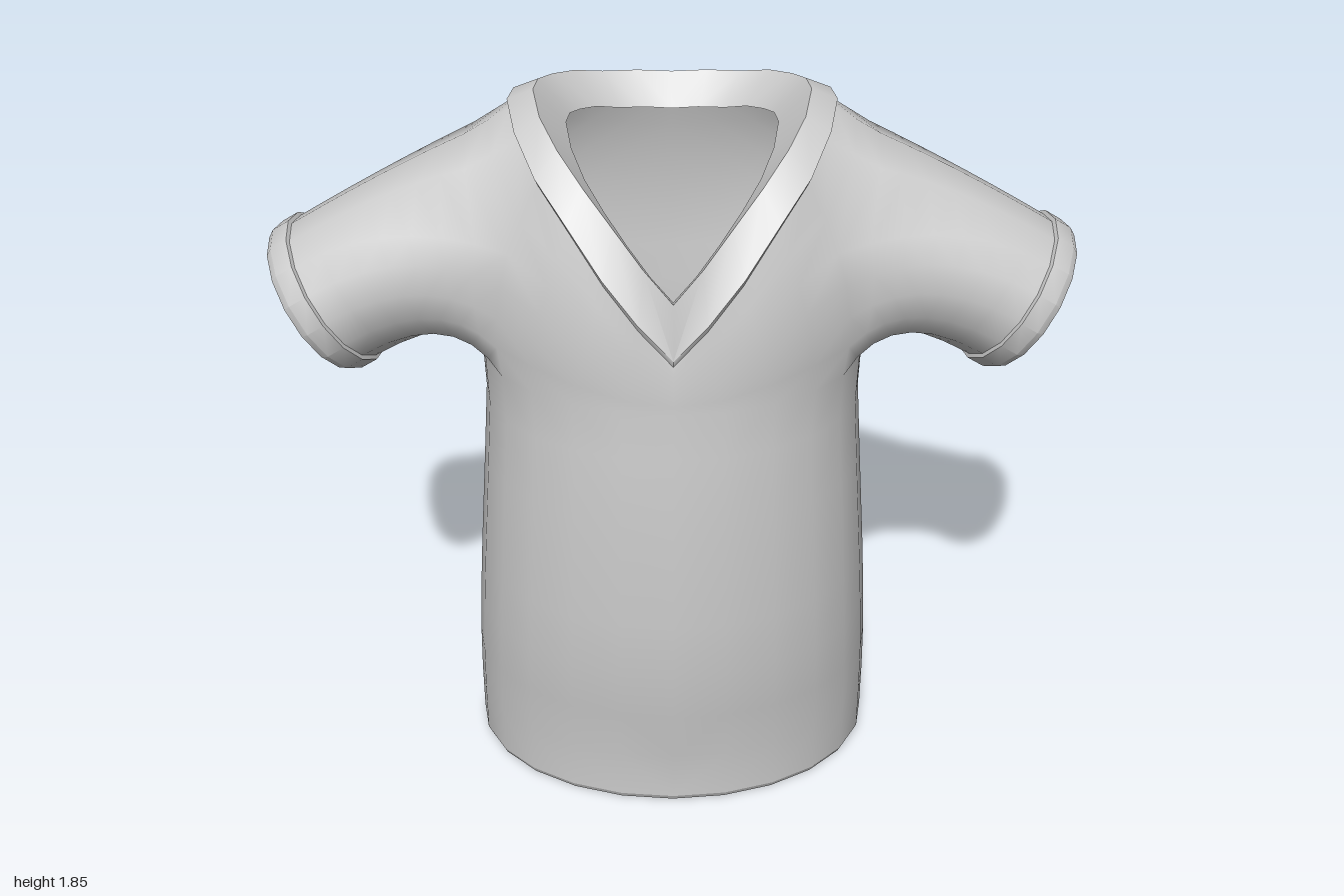
import * as THREE from 'three';
import { mergeVertices, toCreasedNormals } from 'three/addons/utils/BufferGeometryUtils.js';

const V = (x, y, z) => new THREE.Vector3(x, y, z);
const mat = new THREE.MeshStandardMaterial({ color: 0xcccccc });

// Collects quads; each one can be mirrored across x = 0
class Surface {
  constructor(mirror = true) { this.p = []; this.mirror = mirror; }
  quad(a, b, c, d) {
    for (const v of [a, b, c, a, c, d]) this.p.push(v.x, v.y, v.z);
    if (this.mirror) for (const v of [a, c, b, a, d, c]) this.p.push(-v.x, v.y, v.z);
  }
  // Skins consecutive rings of points
  loft(rings, closed, flip) {
    for (let i = 0; i + 1 < rings.length; i++) {
      const [A, B] = flip ? [rings[i + 1], rings[i]] : [rings[i], rings[i + 1]];
      const n = A.length;
      for (let j = 0; j < (closed ? n : n - 1); j++) {
        const m = (j + 1) % n;
        this.quad(A[j], A[m], B[m], B[j]);
      }
    }
    return this;
  }
  geometry() {
    const g = new THREE.BufferGeometry();
    g.setAttribute('position', new THREE.Float32BufferAttribute(this.p, 3));
    return g;
  }
}

// Half ring of the trunk, from front centre round the left side to back centre
const SEG = 12;
const halfRing = ([y, a, front, back]) => Array.from({ length: SEG + 1 }, (_, k) => {
  const t = (k / SEG) * Math.PI;
  return V(k % SEG ? a * Math.sin(t) : 0, y, (front + back) / 2 + ((front - back) / 2) * Math.cos(t));
});

// Trunk sections: height, half width, front z, back z
const sections = [
  [0.015, 0.537, 0.375, -0.42], [0.15, 0.537, 0.375, -0.42], [0.3, 0.532, 0.4, -0.415],
  [0.45, 0.523, 0.414, -0.408], [0.6, 0.512, 0.42, -0.4], [0.9, 0.488, 0.415, -0.385],
  [1.08, 0.475, 0.4, -0.38], [1.2, 0.48, 0.39, -0.385],
];

// Neckline (lower edge of the collar), half ring
const neck = [
  [0, 1.32, 0.375], [0.08, 1.41, 0.37], [0.16, 1.51, 0.34], [0.24, 1.62, 0.28], [0.31, 1.7, 0.2],
  [0.36, 1.77, 0.09], [0.385, 1.8, -0.05], [0.375, 1.8, -0.13], [0.34, 1.79, -0.2],
  [0.28, 1.775, -0.26], [0.2, 1.755, -0.3], [0.1, 1.745, -0.325], [0, 1.74, -0.33],
].map((p) => V(...p));

// Chest and back: a point each column passes through half way up
const chest = {
  0: [0, 1.26, 0.385], 1: [0.1, 1.3, 0.378], 2: [0.2, 1.36, 0.355], 3: [0.31, 1.42, 0.3],
  4: [0.41, 1.45, 0.215], 8: [0.42, 1.5, -0.27], 9: [0.33, 1.52, -0.325],
  10: [0.23, 1.5, -0.36], 11: [0.12, 1.49, -0.38], 12: [0, 1.48, -0.385],
};
// Top of the armhole at the shoulder columns
const shoulder = { 5: [0.49, 1.7, 0.1], 6: [0.5, 1.735, -0.04], 7: [0.49, 1.71, -0.19] };
const ROWS = 6, HOLE = 4;

// Sleeve axis, and rings round it; ring 0 point is the underside
const axis = V(0.86, -0.51, 0), up = V(0.51, 0.86, 0), wrist = V(0.84, 1.33, -0.05);
const sleeveRing = (d, s) => Array.from({ length: 16 }, (_, j) => {
  const t = (j / 16) * Math.PI * 2;
  return wrist.clone().addScaledVector(axis, d).addScaledVector(up, -0.2 * s * Math.cos(t))
    .add(V(0, 0, 0.22 * s * Math.sin(t)));
});

function clothGeometry() {
  const s = new Surface();
  const rings = sections.map(halfRing);
  s.loft(rings, false);

  // Upper trunk grid, leaving the armhole open
  const base = rings[rings.length - 1];
  const grid = (k, r) => {
    if (shoulder[k]) {
      if (r === 0) return base[k];
      return V(...shoulder[k]).lerp(neck[k], (r - HOLE) / (ROWS - HOLE));
    }
    const ctrl = V(...chest[k]).multiplyScalar(2).addScaledVector(base[k], -0.5).addScaledVector(neck[k], -0.5);
    return new THREE.QuadraticBezierCurve3(base[k], ctrl, neck[k]).getPoint(r / ROWS);
  };
  for (let k = 0; k < SEG; k++) for (let r = 0; r < ROWS; r++) {
    if (k >= 4 && k < 8 && r < HOLE) continue;
    s.quad(grid(k, r), grid(k + 1, r), grid(k + 1, r + 1), grid(k, r + 1));
  }

  // Sleeve, growing from the armhole edge to the cuff
  const root = [[6, 0], [5, 0], [4, 0], [4, 1], [4, 2], [4, 3], [4, 4], [5, 4],
    [6, 4], [7, 4], [8, 4], [8, 3], [8, 2], [8, 1], [8, 0], [7, 0]].map(([k, r]) => grid(k, r));
  const end = sleeveRing(0, 0.98);
  const sleeve = [];
  for (let i = 0; i <= 7; i++) {
    sleeve.push(root.map((p, j) => {
      const ctrl = end[j].clone().addScaledVector(axis, -0.28);
      return new THREE.QuadraticBezierCurve3(p, ctrl, end[j]).getPoint(i / 7);
    }));
  }
  s.loft(sleeve, true, true);
  const g = mergeVertices(s.geometry(), 1e-4);
  g.computeVertexNormals();
  return g;
}

// Inside of the cloth: the outer skin moved inward and turned over
function liningGeometry(outer) {
  const g = outer.clone();
  const p = g.attributes.position, n = g.attributes.normal;
  for (let i = 0; i < p.count; i++) {
    p.setXYZ(i, p.getX(i) - 0.025 * n.getX(i), p.getY(i) - 0.025 * n.getY(i), p.getZ(i) - 0.025 * n.getZ(i));
  }
  const idx = g.index;
  for (let i = 0; i < idx.count; i += 3) {
    const b = idx.getX(i + 1);
    idx.setX(i + 1, idx.getX(i + 2));
    idx.setX(i + 2, b);
  }
  g.computeVertexNormals();
  return g;
}

// Folded V-neck band
function collarGeometry() {
  const lift = [0.155, 0.14, 0.12, 0.086, 0.074, 0.05, 0.045, 0.045, 0.045, 0.05, 0.055, 0.06, 0.06];
  const depth = [0.97, 0.91, 0.85, 0.83, 0.83, 0.85, 0.9];
  const bump = neck.map((p) => V(p.x * 1.025, p.y + 0.018, p.z * 1.02));
  const top = neck.map((p, k) => V(p.x * 0.86, p.y + lift[k], p.z * (depth[k] ?? 0.92)));
  const inner = neck.map((p, k) => V(p.x * 0.66, top[k].y - Math.min(0.03 + k * 0.012, 0.08), p.z * 0.77));
  const under = neck.map((p) => V(p.x * 0.93, p.y - 0.03, p.z * 0.93));
  return toCreasedNormals(new Surface().loft([neck, bump, top, inner, under], false).geometry(), 0.6);
}

export function createModel() {
  const shirt = new THREE.Group();
  shirt.name = 'shirt';
  const add = (name, geometry) => {
    const m = new THREE.Mesh(geometry, mat);
    m.name = name;
    shirt.add(m);
  };
  const cloth = clothGeometry();
  add('bodyAndSleeves', cloth);
  add('lining', liningGeometry(cloth));
  add('collar', collarGeometry());

  // Hem edge
  const hem = [sections[0], [0, 0.53, 0.368, -0.413], [0, 0.512, 0.35, -0.395], [0.02, 0.511, 0.349, -0.394]];
  add('hem', toCreasedNormals(new Surface().loft(hem.map(halfRing), false, true).geometry(), 0.6));

  // Sleeve cuffs
  const cuff = [[0, 0.96], [0.003, 1.03], [0.05, 1.03], [0.07, 0.97], [0.068, 0.83], [-0.03, 0.83], [-0.035, 0.9]];
  add('cuffs', toCreasedNormals(
    new Surface().loft(cuff.map(([d, s]) => sleeveRing(d, s)), true, true).geometry(), 0.6));
  return shirt;
}
